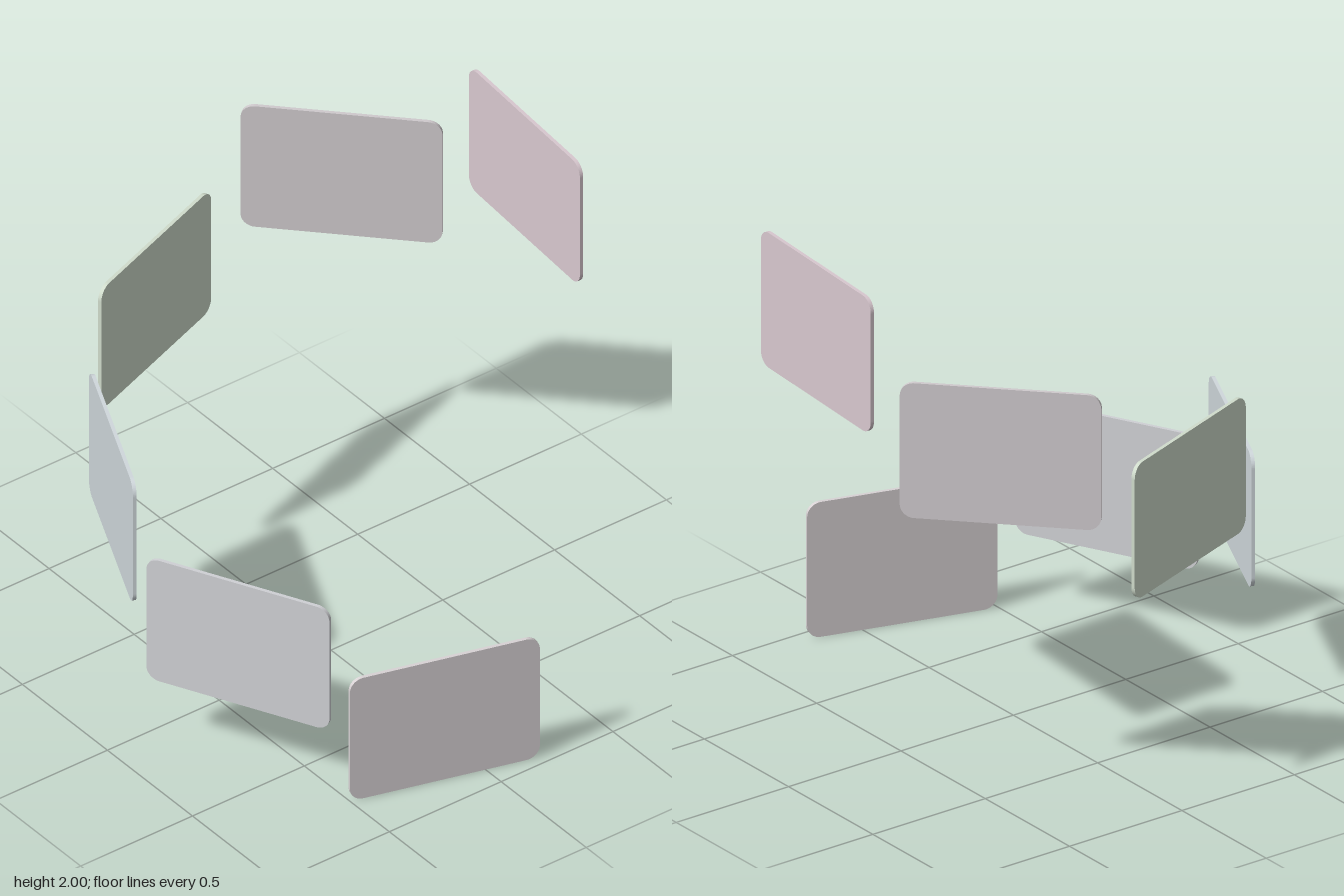
import * as THREE from 'three';

const WIDTH = 0.727, HEIGHT = 0.53, DEPTH = 0.014, RADIUS = 0.052;

// Thin card with rounded corners, centred on its own origin
function cardGeometry() {
  const x = WIDTH / 2, y = HEIGHT / 2, r = RADIUS;
  const shape = new THREE.Shape();
  shape.absarc(x - r, y - r, r, 0, Math.PI / 2);
  shape.absarc(-x + r, y - r, r, Math.PI / 2, Math.PI);
  shape.absarc(-x + r, -y + r, r, Math.PI, Math.PI * 1.5);
  shape.absarc(x - r, -y + r, r, Math.PI * 1.5, Math.PI * 2);
  shape.closePath();
  const geo = new THREE.ExtrudeGeometry(shape, { depth: DEPTH, bevelEnabled: false, curveSegments: 8 });
  return geo.translate(0, 0, -DEPTH / 2);
}

// Rising spiral of cards: centre x, centre z, bottom y, heading in degrees, colour
const CARDS = [
  [0.86, 0.148, 0, 105.6, 0xd8d2d4],
  [0.387, 0.707, 0.302, 153.6, 0xcfd0d4],
  [-0.334, 0.722, 0.577, 204.8, 0xd0d8dc],
  [-0.837, 0.152, 0.862, 249.8, 0xd0dccc],
  [-0.695, -0.577, 1.177, 316.1, 0xcfcacd],
  [0.033, -0.847, 1.47, 4.3, 0xd8c8cf],
];

export function createModel() {
  const model = new THREE.Group();
  model.name = 'spiralOfPanels';
  const geo = cardGeometry();
  CARDS.forEach(([x, z, bottom, heading, color], i) => {
    const panel = new THREE.Mesh(geo, new THREE.MeshStandardMaterial({ color }));
    panel.name = `panel${i + 1}`;
    panel.position.set(x, bottom + HEIGHT / 2, z);
    // Turned so the back faces into the ring and the front faces outward
    panel.rotation.y = Math.PI - THREE.MathUtils.degToRad(heading);
    model.add(panel);
  });
  return model;
}
